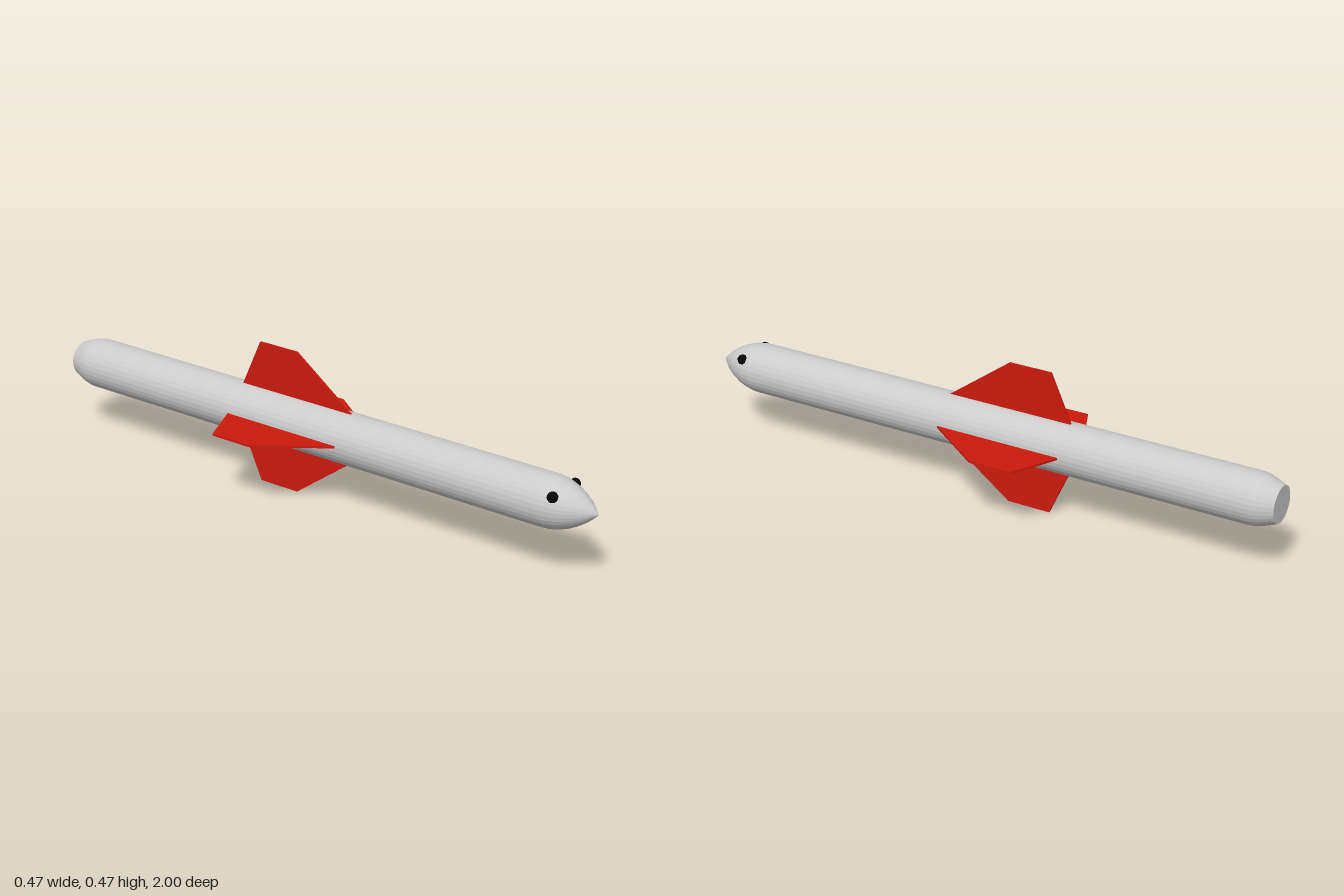
import * as THREE from 'three';

const AXIS_Y = 0.235;   // height of the body axis
const RADIUS = 0.082;

export function createModel() {
  const model = new THREE.Group();
  const grey = new THREE.MeshStandardMaterial({ color: 0xcccccc, flatShading: true });
  const red = new THREE.MeshStandardMaterial({ color: 0xcc1a0d, flatShading: true });
  const black = new THREE.MeshStandardMaterial({ color: 0x050505, flatShading: true });

  const add = (name, geometry, material) => {
    const mesh = new THREE.Mesh(geometry, material);
    mesh.name = name;
    mesh.position.y = AXIS_Y;
    model.add(mesh);
    return mesh;
  };

  // Body: flat tail, rounded shoulder, long tube, pointed nose (radius, z)
  const profile = [
    [0, -1], [0.058, -1], [0.068, -0.975], [0.077, -0.95], [0.081, -0.932], [RADIUS, -0.915],
    [RADIUS, 0.83], [0.0805, 0.856], [0.075, 0.884], [0.066, 0.91],
    [0.053, 0.936], [0.036, 0.962], [0.018, 0.983], [0, 1],
  ].map(([r, z]) => new THREE.Vector2(r, z));
  add('body', new THREE.LatheGeometry(profile, 32).rotateX(Math.PI / 2), grey);

  // Four thin swept fins around the body
  const thickness = 0.007;
  const outline = new THREE.Shape([
    [0.06, 0.12], [RADIUS, 0.12], [0.235, -0.09], [0.235, -0.235], [RADIUS, -0.305], [0.06, -0.305],
  ].map(([r, z]) => new THREE.Vector2(r, z)));
  const finGeometry = new THREE.ExtrudeGeometry(outline, { depth: thickness, bevelEnabled: false })
    .translate(0, 0, -thickness / 2)
    .rotateX(Math.PI / 2);
  ['leftFin', 'topFin', 'rightFin', 'bottomFin'].forEach((name, i) => {
    add(name, finGeometry, red).rotation.z = i * Math.PI / 2;
  });

  // Eyes set into the sides of the nose
  const eyeGeometry = new THREE.SphereGeometry(0.017, 12, 8);
  for (const side of [1, -1]) {
    add(side > 0 ? 'leftEye' : 'rightEye', eyeGeometry, black)
      .position.set(side * 0.06, AXIS_Y + 0.043, 0.882);
  }

  return model;
}
